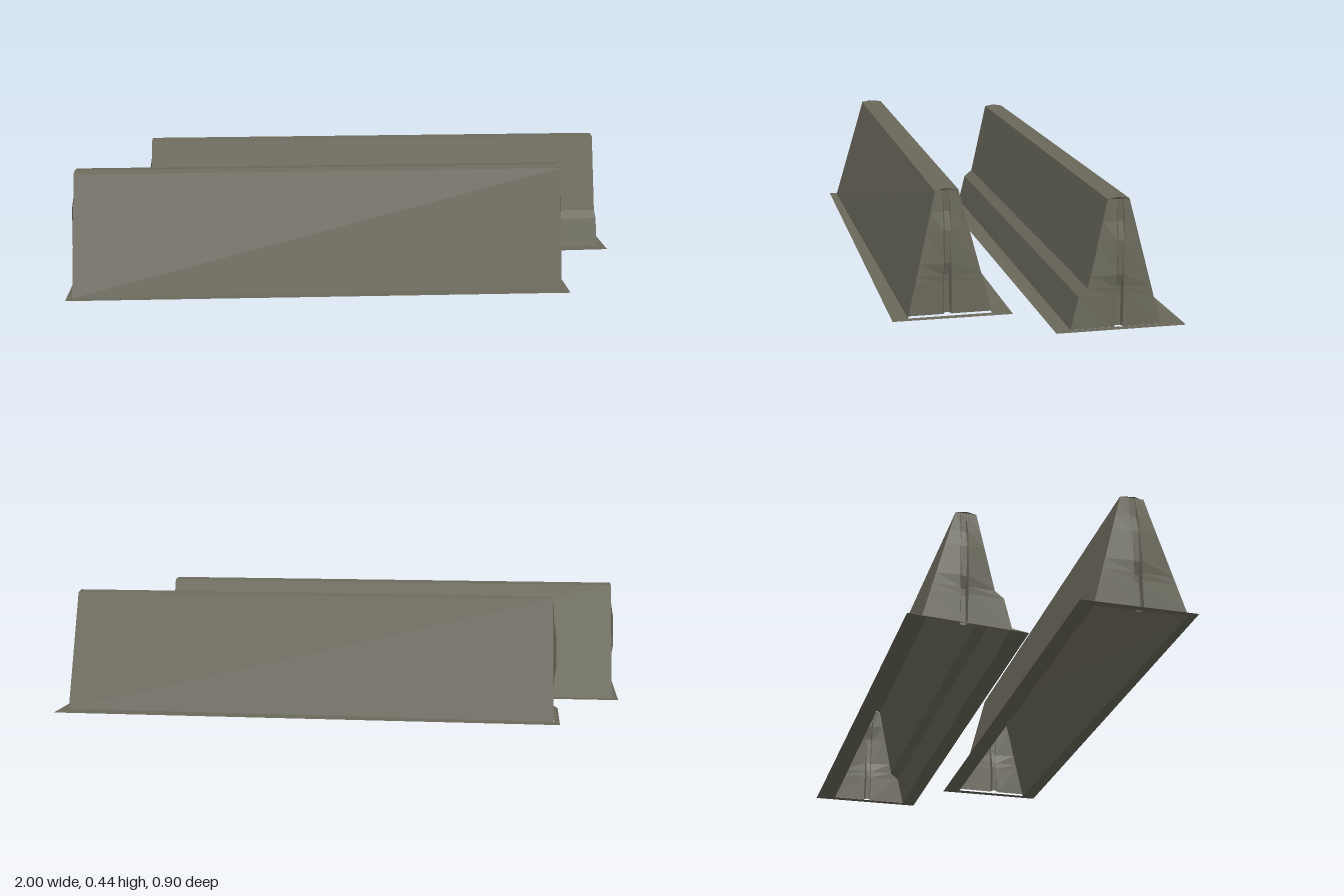
import * as THREE from 'three';

const stone = new THREE.MeshStandardMaterial({ color: 0x6b695b, side: THREE.DoubleSide });
stone.name = 'weathered stone';

// Flat-shaded sheet from equal-length rows of [x, y, z] points
function sheet(name, rows) {
  const p = [];
  for (let i = 0; i < rows.length - 1; i++) {
    for (let j = 0; j < rows[i].length - 1; j++) {
      const a = rows[i][j], b = rows[i + 1][j], c = rows[i + 1][j + 1], d = rows[i][j + 1];
      p.push(...a, ...b, ...c, ...a, ...c, ...d);
    }
  }
  const g = new THREE.BufferGeometry();
  g.setAttribute('position', new THREE.Float32BufferAttribute(p, 3));
  g.computeVertexNormals();
  const mesh = new THREE.Mesh(g, stone);
  mesh.name = name;
  return mesh;
}

// z of a wall, given as [z, y] points with rising y, at height y
function wallZ(wall, y) {
  for (let i = 1; i < wall.length; i++) {
    const [z0, y0] = wall[i - 1], [z1, y1] = wall[i];
    if (y <= y1) return z0 + (z1 - z0) * Math.max(0, (y - y0) / (y1 - y0));
  }
  return wall[wall.length - 1][0];
}

// Each end: foot x, top x, outward sign, front wall, ridge point, back wall
const endX = (e, y) => e.foot + (e.top - e.foot) * Math.min(1, y / 0.43);

function section(e) {
  const pts = [...e.front, e.ridge, ...[...e.back].reverse()];
  return pts.map(([z, y]) => [endX(e, y), y, z]);
}

// End wall with a bulging lip and a sunken slot running up its middle
function endWall(name, e) {
  const lip = [0, 0.003, 0.006, 0.013, 0.013, 0.004, 0];
  const slot = [-0.015, -0.015, -0.012, 0.002, 0.008, -0.004, 0];
  const heights = [0.02, 0.125, 0.15, 0.19, 0.30, 0.36, 0.43];
  const mid = e.ridge[0] - 0.006;
  const rows = heights.map((y, i) => {
    const x = endX(e, y);
    const row = [
      [x, y, wallZ(e.front, y)],
      [x + e.sign * lip[i], y, mid + 0.012],
      [x + e.sign * slot[i], y, mid + 0.007],
      [x + e.sign * slot[i], y, mid - 0.010],
      [x + e.sign * lip[i] * 0.6, y, mid - 0.014],
      [x, y, wallZ(e.back, y)],
    ];
    return e.sign > 0 ? row.reverse() : row;
  });
  return sheet(name, rows);
}

// Hollow barrier: long shell, two end walls, thin flange around the foot
function barrier(name, left, right, corners) {
  const group = new THREE.Group();
  group.name = name;
  group.add(sheet('shell', [section(left), section(right)].reverse()));
  group.add(endWall('leftEnd', left), endWall('rightEnd', right));
  const foot = (e, wall) => [e.foot, wall[0][1], wall[0][0]];
  const inner = [foot(right, right.front), foot(left, left.front), foot(left, left.back), foot(right, right.back)];
  group.add(sheet('flange', [[...corners, corners[0]], [...inner, inner[0]]]));
  return group;
}

export function createModel() {
  const model = new THREE.Group();
  model.name = 'barriers';

  // Front barrier, its long face tapering slightly toward one end
  const frontBack = [[0.11, 0.013], [0.22, 0.43]];
  model.add(barrier('frontBarrier',
    { foot: 0.735, top: 0.73, sign: 1, front: [[0.387, 0.013], [0.295, 0.427]], ridge: [0.265, 0.435], back: frontBack },
    { foot: -0.98, top: -0.97, sign: -1, front: [[0.422, 0.018], [0.30, 0.427]], ridge: [0.27, 0.435], back: frontBack },
    [[-1, 0.018, 0.45], [0.755, 0.012, 0.44], [0.755, 0.01, 0.045], [-1, 0.017, 0.06]]));

  // Back barrier, with a narrow ledge low on its front face
  const ledge = [[-0.085, 0.02], [-0.11, 0.125], [-0.14, 0.15], [-0.20, 0.43]];
  const rear = [[-0.38, 0.02], [-0.27, 0.43]];
  model.add(barrier('backBarrier',
    { foot: 0.972, top: 0.96, sign: 1, front: ledge, ridge: [-0.235, 0.436], back: rear },
    { foot: -0.755, top: -0.745, sign: -1, front: ledge, ridge: [-0.235, 0.436], back: rear },
    [[-0.775, 0, -0.035], [1, 0.022, -0.032], [1, 0.02, -0.455], [-0.775, 0.02, -0.43]]));

  return model;
}
